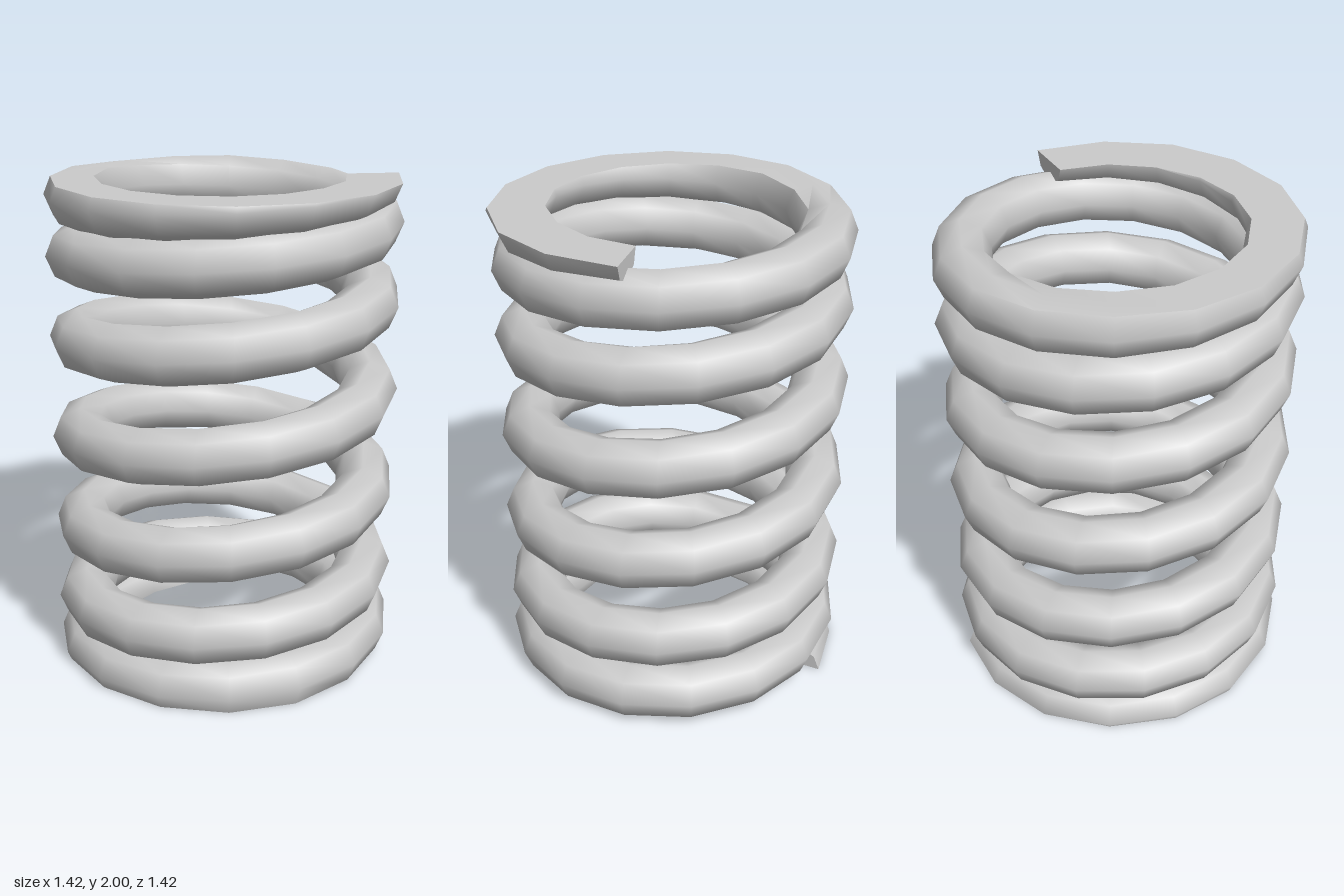
import * as THREE from 'three';
import { toCreasedNormals } from 'three/addons/utils/BufferGeometryUtils.js';

const COIL = 0.597, WIRE = 0.115, SIDES = 8, SEGMENTS = 105;
const FIRST = -0.25, LAST = 6.53, HEIGHT = 2;

// Wire centre height: wide pitch in the middle, closed coils at both ends
function wireHeight(turn) {
  const s = turn - (FIRST + LAST) / 2;
  const m = Math.min(Math.abs(s), 2.5);
  const rise = m * (0.41 - 0.0104 * m * m) + 0.18 * (Math.abs(s) - m);
  return HEIGHT / 2 + Math.sign(s) * rise;
}

// Half width of the octagonal wire section at a height above its centre
function halfWidth(h) {
  const c = WIRE * Math.SQRT1_2, a = Math.abs(h);
  if (a >= WIRE) return 0;
  return a < c ? WIRE - (WIRE - c) * a / c : c * (WIRE - a) / (WIRE - c);
}

// One wire section, ground flat at the floor and at the top
function section(turn) {
  const a = turn * Math.PI * 2, cy = wireHeight(turn), ring = [];
  for (let j = 0; j < SIDES; j++) {
    const t = j / SIDES * Math.PI * 2;
    let u = WIRE * Math.cos(t), y = cy + WIRE * Math.sin(t);
    const flat = Math.min(HEIGHT, Math.max(0, y));
    if (flat !== y) {
      u = Math.abs(u) < 1e-4 ? 0 : Math.sign(u) * halfWidth(flat - cy);
      y = flat;
    }
    ring.push(-(COIL + u) * Math.cos(a), y, (COIL + u) * Math.sin(a));
  }
  return ring;
}

function springGeometry() {
  const pos = [], index = [];
  for (let i = 0; i <= SEGMENTS; i++) {
    pos.push(...section(FIRST + (LAST - FIRST) * i / SEGMENTS));
  }
  // Wire surface
  for (let i = 0; i < SEGMENTS; i++) {
    for (let j = 0; j < SIDES; j++) {
      const a = i * SIDES + j, b = i * SIDES + (j + 1) % SIDES;
      index.push(a, a + SIDES, b, b, a + SIDES, b + SIDES);
    }
  }
  // Cut ends of the wire
  const end = SEGMENTS * SIDES;
  for (let j = 1; j < SIDES - 1; j++) {
    index.push(0, j, j + 1, end, end + j + 1, end + j);
  }
  const g = new THREE.BufferGeometry();
  g.setAttribute('position', new THREE.Float32BufferAttribute(pos, 3));
  g.setIndex(index);
  return toCreasedNormals(g, 0.95);
}

export function createModel() {
  const model = new THREE.Group();
  model.name = 'compressionSpring';
  const coil = new THREE.Mesh(springGeometry(), new THREE.MeshStandardMaterial({ color: 0xcccccc }));
  coil.name = 'springCoil';
  model.add(coil);
  return model;
}
